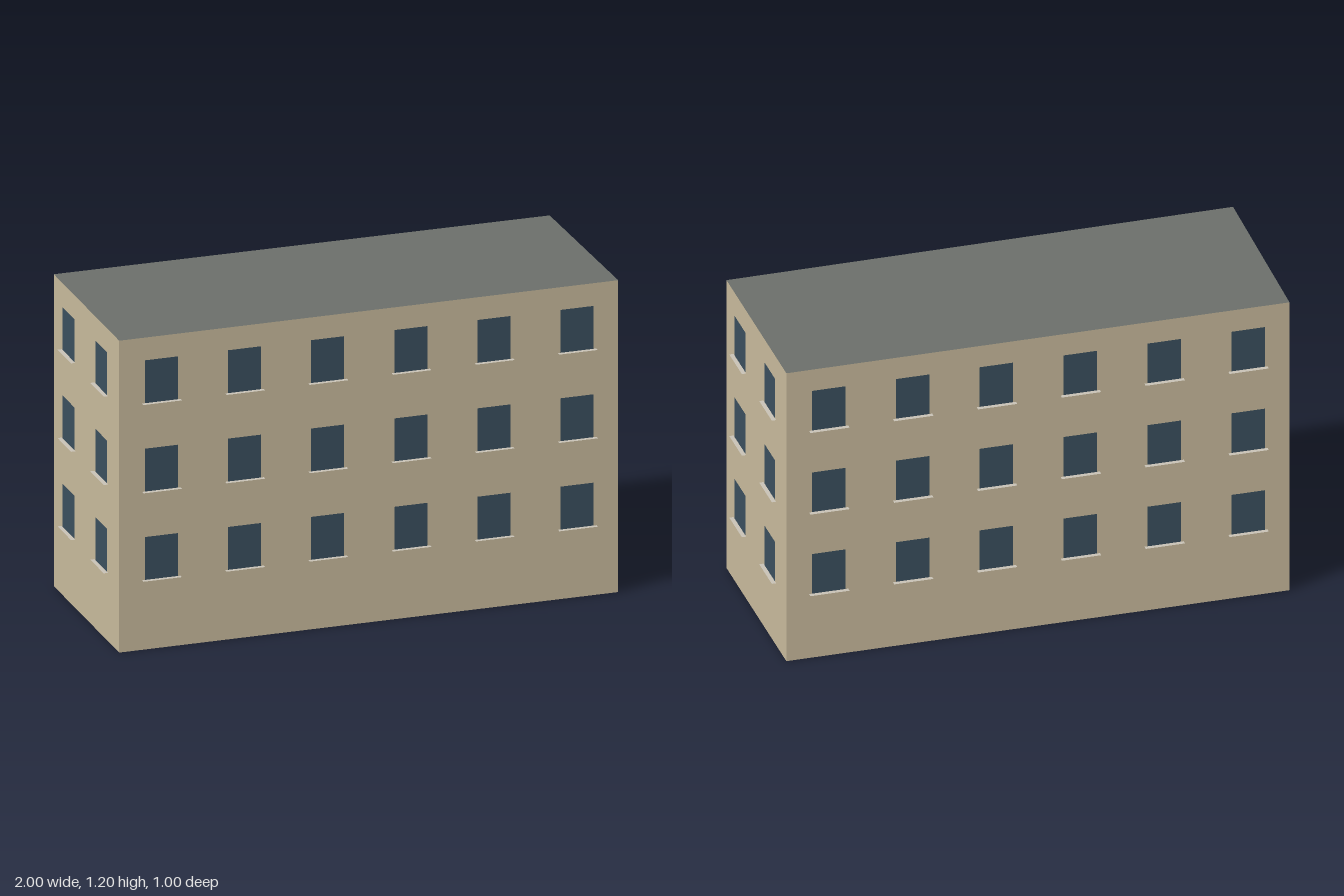
import * as THREE from 'three';

const HEIGHT = 1.2;
// Footprint corners [x, z]: front right, front left, back left, back right
const CORNERS = [[-0.872, 0.494], [0.994, 0.185], [0.855, -0.494], [-0.997, -0.2]];
const COLUMNS = [6, 2, 6, 2];
const SILL_LEVELS = [0.27, 0.61, 0.95];
const WINDOW = { width: 0.125, height: 0.165, gap: 0.006 };
const SILL = { width: 0.146, depth: 0.016 };

const paint = (color) => new THREE.MeshStandardMaterial({ color, side: THREE.DoubleSide });

function addMesh(parent, name, geometry, material, x = 0, y = 0, z = 0) {
  const mesh = new THREE.Mesh(geometry, material);
  mesh.name = name;
  mesh.position.set(x, y, z);
  parent.add(mesh);
  return mesh;
}

export function createModel() {
  const model = new THREE.Group();
  model.name = 'apartmentBlock';

  const wallPaint = paint(0xc8ba9c);
  const glassPaint = paint(0x3a4f5e);
  const roofPaint = paint(0x6b6f6a);
  const sillPaint = paint(0xc8c2b6);

  const paneGeometry = new THREE.PlaneGeometry(WINDOW.width, WINDOW.height);
  const sillGeometry = new THREE.PlaneGeometry(SILL.width, SILL.depth).rotateX(-Math.PI / 2);

  // Each facade is built facing local +z, then turned onto its footprint edge
  const names = ['frontFacade', 'leftFacade', 'backFacade', 'rightFacade'];
  names.forEach((name, side) => {
    const [ax, az] = CORNERS[side];
    const [bx, bz] = CORNERS[(side + 1) % 4];
    const length = Math.hypot(bx - ax, bz - az);
    const facade = new THREE.Group();
    facade.name = name;
    facade.position.set((ax + bx) / 2, 0, (az + bz) / 2);
    facade.rotation.y = Math.atan2(az - bz, bx - ax);
    model.add(facade);

    addMesh(facade, 'wall', new THREE.PlaneGeometry(length, HEIGHT), wallPaint, 0, HEIGHT / 2, 0);

    // Window panes with thin projecting sills
    for (const y of SILL_LEVELS) {
      for (let i = 0; i < COLUMNS[side]; i++) {
        const x = ((i + 0.5) / COLUMNS[side] - 0.5) * length;
        addMesh(facade, 'windowPane', paneGeometry, glassPaint, x, y + WINDOW.height / 2, WINDOW.gap);
        addMesh(facade, 'windowSill', sillGeometry, sillPaint, x, y, WINDOW.gap + SILL.depth / 2);
      }
    }
  });

  // Flat roof and underside follow the footprint
  const outline = new THREE.Shape(CORNERS.map(([x, z]) => new THREE.Vector2(x, -z)));
  const roofGeometry = new THREE.ShapeGeometry(outline).rotateX(-Math.PI / 2);
  addMesh(model, 'roof', roofGeometry, roofPaint, 0, HEIGHT, 0);
  addMesh(model, 'base', roofGeometry, roofPaint);

  return model;
}
